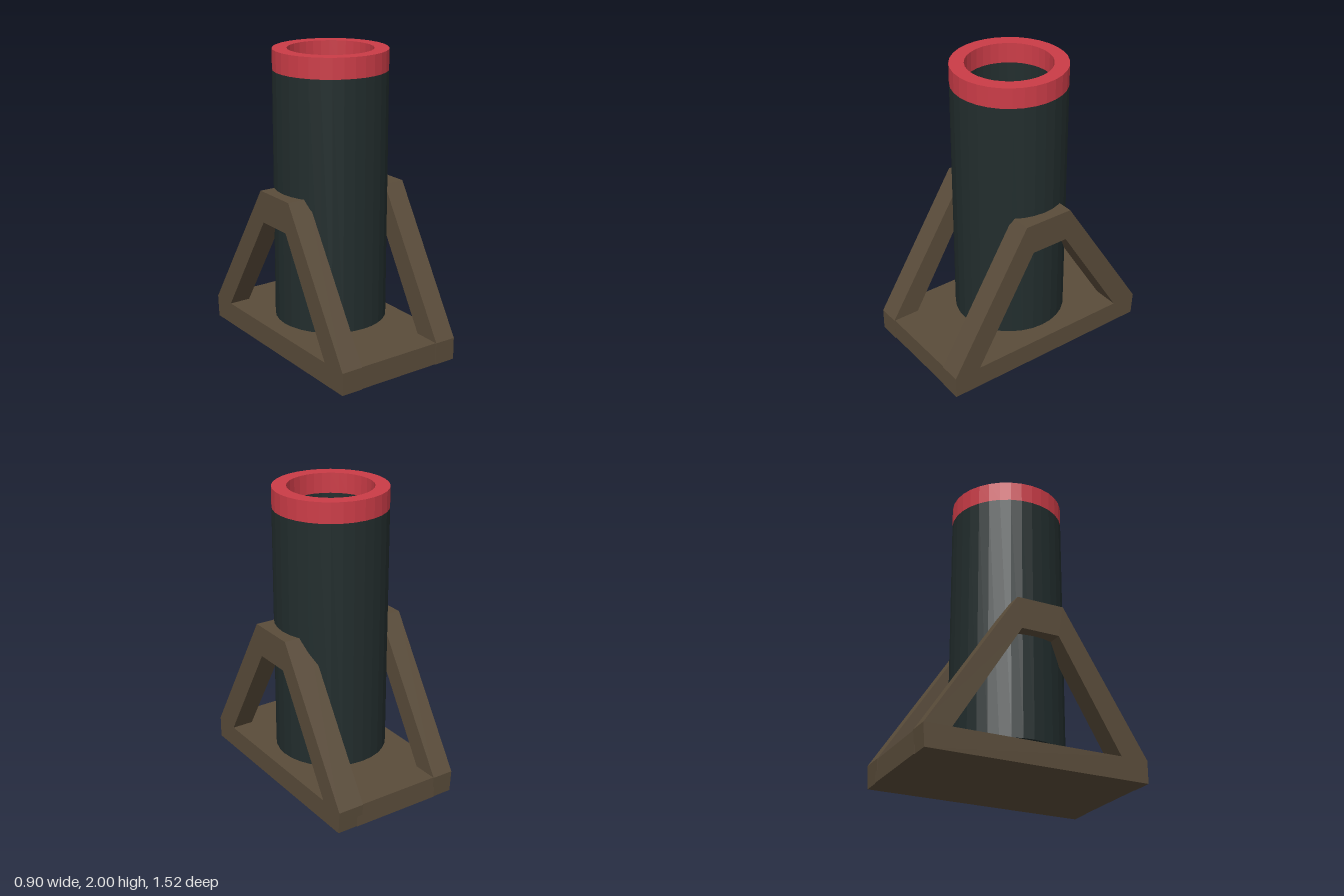
import * as THREE from 'three';

const mat = (name, color) => {
  const m = new THREE.MeshStandardMaterial({ color, flatShading: true });
  m.name = name;
  return m;
};

export function createModel() {
  const wood = mat('brown wood', 0x5a4c3a);
  const iron = mat('dark iron', 0x222d2d);
  const red = mat('red', 0xcb3c47);
  const tan = mat('tan stone', 0x9c8866);

  const group = new THREE.Group();
  const add = (name, geometry, material) => {
    const mesh = new THREE.Mesh(geometry, material);
    mesh.name = name;
    group.add(mesh);
    return mesh;
  };
  const vecs = (pts) => pts.map(([x, y]) => new THREE.Vector2(x, y));

  // base plank between the two side frames
  add('base', new THREE.BoxGeometry(0.62, 0.15, 1.51), wood).position.y = 0.075;

  // side frames: trapezoid outline in z and y, with a trapezoid opening
  const frame = (name, front, inner, outer) => {
    const shape = new THREE.Shape(vecs([
      [0.76, 0], [0.76, 0.15], [front, 1.09], [-0.15, 1.09], [-0.76, 0.15], [-0.75, 0],
    ]));
    shape.holes.push(new THREE.Path(vecs([
      [0.57, 0.15], [0.14, 0.88], [-0.12, 0.88], [-0.58, 0.15],
    ])));
    const g = new THREE.ExtrudeGeometry(shape, { depth: outer - inner, bevelEnabled: false });
    g.rotateY(-Math.PI / 2).translate(outer, 0, 0);
    return add(name, g, wood);
  };
  frame('rightFrame', 0.175, -0.45, -0.3);
  const left = frame('leftFrame', 0.195, 0.3, 0.45).geometry;

  // the left frame is a little thicker towards the back
  const p = left.attributes.position;
  for (let i = 0; i < p.count; i++) {
    if (p.getX(i) < 0.35 && p.getZ(i) < 0) p.setX(i, 0.27);
  }

  // hollow barrel with a closed bottom
  add('barrel', new THREE.LatheGeometry(vecs([
    [0, 0.19], [0.375, 0.19], [0.375, 1.865], [0.28, 1.865], [0.28, 0.3], [0, 0.3],
  ]), 32), iron);

  // muzzle band
  add('muzzleBand', new THREE.LatheGeometry(vecs([
    [0.375, 1.865], [0.375, 2], [0.28, 2], [0.28, 1.865],
  ]), 32), red);

  // ball resting in the bore
  add('ball', new THREE.SphereGeometry(0.268, 32, 16), tan).position.y = 0.568;

  return group;
}
